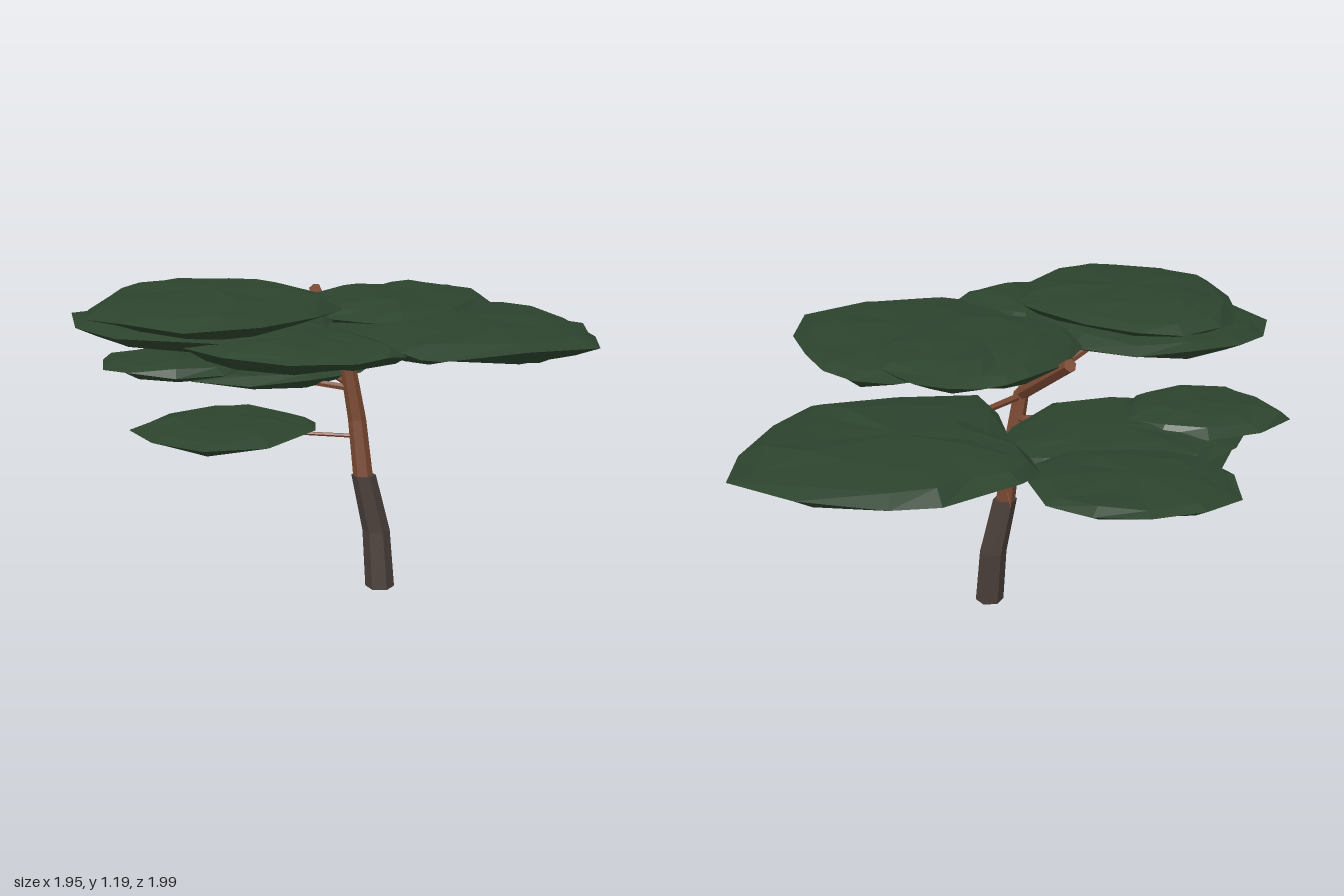
import * as THREE from 'three';

const mat = (name, color) => {
  const m = new THREE.MeshStandardMaterial({ color, flatShading: true });
  m.name = name;
  return m;
};

// Repeatable small noise in -1..1
function noise(seed) {
  let s = seed * 7919 + 17;
  return () => {
    s = (s * 16807) % 2147483647;
    return (s / 2147483647) * 2 - 1;
  };
}

// Skin between stacked rings (top to bottom, corners clockwise from above)
function skin(rings) {
  const pos = [];
  const tri = (...p) => p.forEach((v) => pos.push(v.x, v.y, v.z));
  const n = rings[0].length;
  for (let r = 0; r < rings.length - 1; r++) {
    for (let i = 0; i < n; i++) {
      const j = (i + 1) % n;
      const ua = rings[r][i], ub = rings[r][j], la = rings[r + 1][i], lb = rings[r + 1][j];
      if (!ua.equals(ub)) tri(ua, ub, lb);
      if (!la.equals(lb)) tri(ua, lb, la);
    }
  }
  const g = new THREE.BufferGeometry();
  g.setAttribute('position', new THREE.Float32BufferAttribute(pos, 3));
  g.computeVertexNormals();
  return g;
}

// Flat foliage pad: closed curve through [x, z] points, with bottom, rim and top heights
function pad(points, bottom, rim, top, seed) {
  const rnd = noise(seed);
  const curve = new THREE.CatmullRomCurve3(points.map(([x, z]) => new THREE.Vector3(x, 0, z)), true);
  const outline = curve.getPoints(points.length * 2).slice(0, -1);
  const centre = outline.reduce((s, p) => s.add(p), new THREE.Vector3()).divideScalar(outline.length);
  const ring = (scale, y, jitter) => outline.map((p) => {
    const v = centre.clone().lerp(p, scale * (1 + rnd() * jitter));
    v.y = y + rnd() * jitter * 0.1;
    return v;
  });
  const rimRing = ring(1, rim, 0);
  rimRing.forEach((v) => { v.y += rnd() * 0.012; });
  const mix = THREE.MathUtils.lerp;
  return skin([
    ring(0, top, 0),
    ring(0.55, mix(rim, top, 0.88), 0.1),
    ring(0.86, mix(rim, top, 0.5), 0.06),
    rimRing,
    ring(0.82, mix(rim, bottom, 0.65), 0.08),
    ring(0.5, mix(rim, bottom, 0.92), 0.1),
    ring(0, bottom, 0),
  ]);
}

// Hexagonal trunk section through [x, y, z, radius] stations, bottom to top
function trunk(stations) {
  const ring = ([x, y, z, r]) => Array.from({ length: 6 }, (_, i) => {
    const a = (i / 6) * Math.PI * 2;
    return new THREE.Vector3(x - Math.cos(a) * r, y, z - Math.sin(a) * r);
  });
  const cap = ([x, y, z]) => Array.from({ length: 6 }, () => new THREE.Vector3(x, y, z));
  return skin([cap(stations.at(-1)), ...stations.map(ring).reverse(), cap(stations[0])]);
}

// Straight tapered branch
function branch(from, to, r0, r1) {
  const a = new THREE.Vector3(...from), b = new THREE.Vector3(...to);
  const d = b.clone().sub(a);
  const g = new THREE.CylinderGeometry(r1, r0, d.length(), 6);
  g.applyQuaternion(new THREE.Quaternion().setFromUnitVectors(new THREE.Vector3(0, 1, 0), d.normalize()));
  const mid = a.add(b).multiplyScalar(0.5);
  return g.translate(mid.x, mid.y, mid.z);
}

export function createModel() {
  const tree = new THREE.Group();
  tree.name = 'pineTree';
  const leaf = mat('needle green', 0x2c432d);
  const wood = mat('reddish bark', 0x7c4a33);
  const bark = mat('dark bark', 0x4a3f3a);
  const add = (name, geometry, material) => {
    const m = new THREE.Mesh(geometry, material);
    m.name = name;
    tree.add(m);
  };

  // Trunk: thick dark bark below, slimmer red bark above
  add('lowerTrunk', trunk([[0.12, 0, 0.06, 0.055], [0.105, 0.22, 0.043, 0.052], [0.057, 0.44, 0.05, 0.046]]), bark);
  add('upperTrunk', trunk([[0.055, 0.435, 0.05, 0.037], [0.032, 0.65, 0.033, 0.034], [-0.006, 0.88, 0.042, 0.029]]), wood);

  // Branches: start, end, radii
  const crown = [-0.006, 0.87, 0.042];
  const addBranch = (name, ...args) => add(name, branch(...args), wood);
  addBranch('frontLeftBranch', crown, [-0.38, 1.1, 0.38], 0.025, 0.014);
  addBranch('outerBranch', crown, [-0.42, 1.05, 0.3], 0.022, 0.012);
  addBranch('frontBranch', crown, [-0.13, 1.04, 0.36], 0.024, 0.014);
  addBranch('backBranch', crown, [-0.14, 1.09, -0.31], 0.026, 0.024);
  addBranch('rightBranch', [0, 0.86, 0.04], [0.4, 0.87, -0.4], 0.014, 0.008);
  addBranch('backLeftBranch', [0.01, 0.78, 0.04], [-0.3, 0.82, -0.65], 0.014, 0.008);
  addBranch('middleBranch', [0.01, 0.77, 0.04], [-0.55, 0.82, -0.12], 0.014, 0.008);
  addBranch('lowBranch', [0.04, 0.585, 0.035], [-0.4, 0.605, 0.03], 0.008, 0.006);
  addBranch('deadTwig', [0.05, 0.475, 0.04], [0.05, 0.484, -0.13], 0.006, 0.002);

  // Foliage pads: curve points clockwise from above, then bottom, rim and top heights
  let seed = 1;
  const addPad = (name, ...args) => add(name, pad(...args, seed++), leaf);
  addPad('backLeftPad', [[-0.62, -0.85], [-0.3, -1], [0, -0.85], [0, -0.51], [-0.3, -0.41], [-0.57, -0.53]],
    0.785, 0.82, 0.855);
  addPad('backRightPad', [[0, -0.72], [0.18, -0.88], [0.48, -0.97], [0.98, -0.74], [0.88, -0.25], [0.76, -0.06],
    [0.16, 0], [0.08, -0.4]], 0.825, 0.875, 0.935);
  addPad('leftPad', [[-0.96, -0.2], [-0.62, -0.38], [-0.36, -0.18], [-0.45, 0.1], [-0.8, 0.13]], 0.79, 0.83, 0.875);
  addPad('middlePad', [[-0.77, -0.28], [-0.58, -0.52], [0, -0.5], [0.12, -0.35], [-0.13, 0.09], [-0.57, 0.1]],
    0.76, 0.8, 0.845);
  addPad('lowPad', [[-0.82, 0.05], [-0.55, -0.29], [-0.2, -0.18], [-0.12, 0.08], [-0.5, 0.36]], 0.57, 0.608, 0.655);
  addPad('frontLeftUpperPad', [[-0.83, 0.18], [-0.72, -0.06], [-0.4, -0.12], [-0.1, 0.17], [-0.01, 0.4],
    [-0.24, 0.86], [-0.47, 0.91], [-0.83, 0.65]], 1.08, 1.13, 1.188);
  addPad('frontLeftLowerPad', [[-0.97, 0.22], [-0.8, -0.05], [-0.4, -0.14], [-0.04, 0.23], [-0.2, 0.74],
    [-0.72, 0.7]], 1.015, 1.065, 1.115);
  addPad('frontPad', [[-0.5, 0.72], [-0.2, 0.37], [0, 0.43], [0.2, 0.77], [0.05, 0.92], [-0.15, 0.99]],
    0.995, 1.04, 1.085);
  addPad('frontRightPad', [[-0.1, 0.2], [0.3, -0.26], [0.6, -0.25], [0.78, 0.06], [0.82, 0.61], [0.31, 0.79],
    [0.18, 0.75]], 0.98, 1.03, 1.085);
  addPad('centrePad', [[-0.22, -0.04], [0, -0.4], [0.17, -0.47], [0.39, -0.45], [0.53, -0.02], [0.2, 0.43],
    [-0.1, 0.28]], 1.025, 1.078, 1.122);

  return tree;
}
